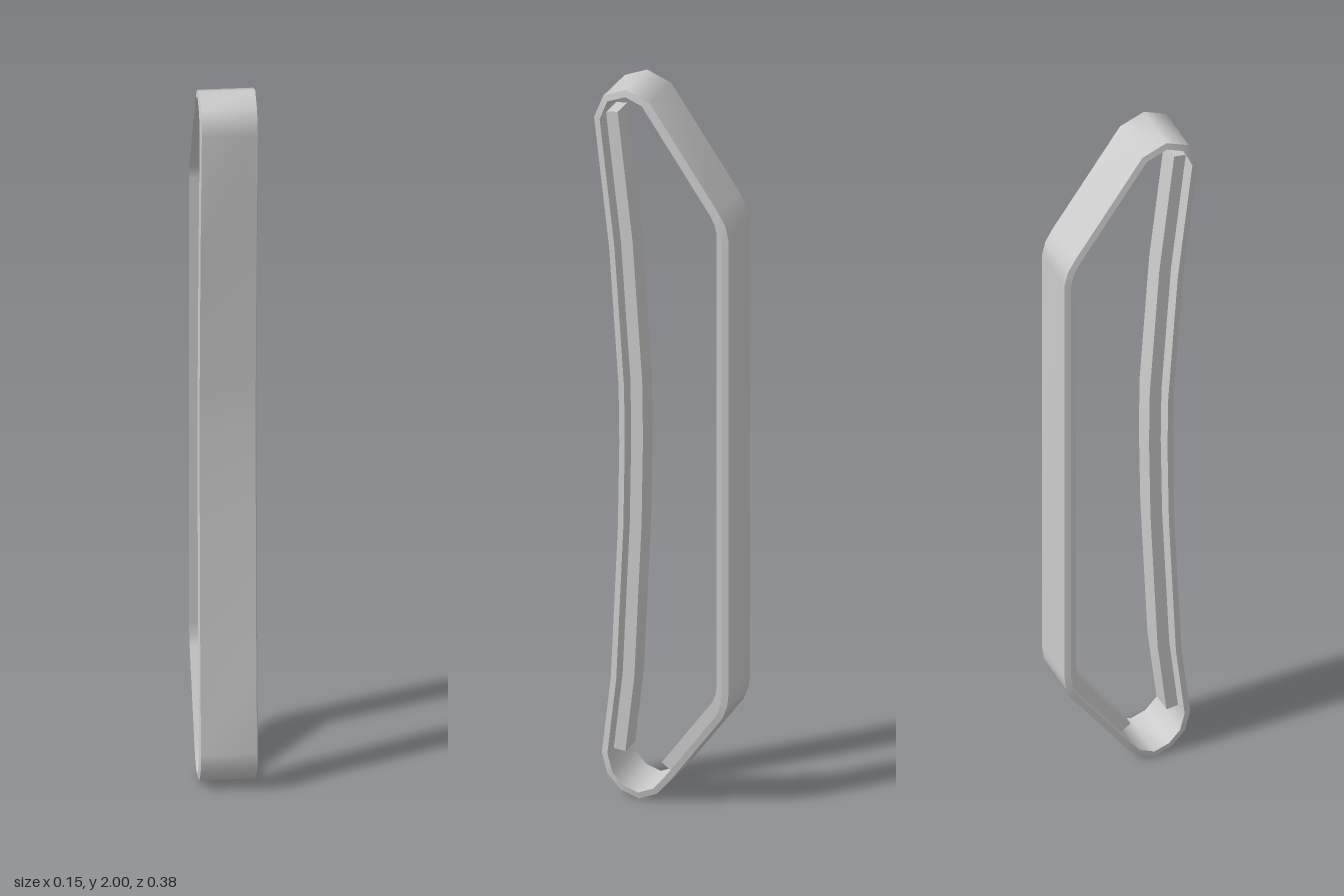
import * as THREE from 'three';

// Outline of the loop as [z, y]: over the top, down the back, round the bottom, up the front
const loop = [
  [0.189, 1.91], [0.163, 1.974], [0.1, 2], [0.032, 1.973],
  [-0.16, 1.695], [-0.18, 1.66], [-0.189, 1.62],
  [-0.189, 0.335], [-0.185, 0.3], [-0.172, 0.265],
  [-0.025, 0.065], [0.012, 0.022], [0.063, 0], [0.115, 0.018], [0.152, 0.058],
  [0.167, 0.115], [0.142, 0.33], [0.122, 0.76], [0.118, 1.0], [0.12, 1.16], [0.147, 1.55],
];

// Inward mitre vector at each point of a path
function mitres(path, closed) {
  const n = path.length;
  const normal = (a, b) => new THREE.Vector2(a[1] - b[1], b[0] - a[0]).normalize();
  return path.map((p, i) => {
    const before = closed || i > 0 ? normal(path[(i + n - 1) % n], p) : null;
    const after = closed || i < n - 1 ? normal(p, path[(i + 1) % n]) : null;
    const a = before || after, b = after || before;
    return a.clone().add(b).divideScalar(1 + a.dot(b));
  });
}

// Sweep a section of [x, depth] corners along a path: smooth along it, sharp across it
function sweep(path, section, closed) {
  const m = mitres(path, closed), n = path.length, k = section.length;
  const pos = [], index = [];
  const put = (i, [x, d]) => pos.push(x, path[i][1] + m[i].y * d, path[i][0] + m[i].x * d);
  for (let s = 0; s < k; s++) {
    const base = pos.length / 3;
    for (let i = 0; i < n; i++) {
      put(i, section[s]);
      put(i, section[(s + 1) % k]);
    }
    for (let i = 0; i < (closed ? n : n - 1); i++) {
      const a = base + 2 * i, b = base + 2 * ((i + 1) % n);
      index.push(a, a + 1, b + 1, a, b + 1, b);
    }
  }
  // End caps
  if (!closed) {
    for (const i of [0, n - 1]) {
      const c = pos.length / 3;
      section.forEach((q) => put(i, q));
      if (i === 0) index.push(c, c + 2, c + 1, c, c + 3, c + 2);
      else index.push(c, c + 1, c + 2, c, c + 2, c + 3);
    }
  }
  const g = new THREE.BufferGeometry();
  g.setAttribute('position', new THREE.Float32BufferAttribute(pos, 3));
  g.setIndex(index);
  g.computeVertexNormals();
  return g;
}

export function createModel() {
  const group = new THREE.Group();
  group.name = 'trackLoop';
  const material = new THREE.MeshStandardMaterial({ color: 0xcccccc });
  const add = (name, geometry) => {
    const mesh = new THREE.Mesh(geometry, material);
    mesh.name = name;
    group.add(mesh);
  };

  // Belt with slightly tapered edges
  const belt = [[-0.073, 0], [0.073, 0], [0.077, 0.017], [-0.077, 0.017]];
  add('belt', sweep(loop, belt, true));

  // Guide ribs along the middle of the inner face
  const rib = [[-0.033, 0.012], [0.033, 0.012], [0.033, 0.05], [-0.033, 0.05]];
  add('backGuideRib', sweep(loop.slice(3, 11), rib, false));
  add('frontGuideRib', sweep([...loop.slice(15), loop[0]], rib, false));
  return group;
}
